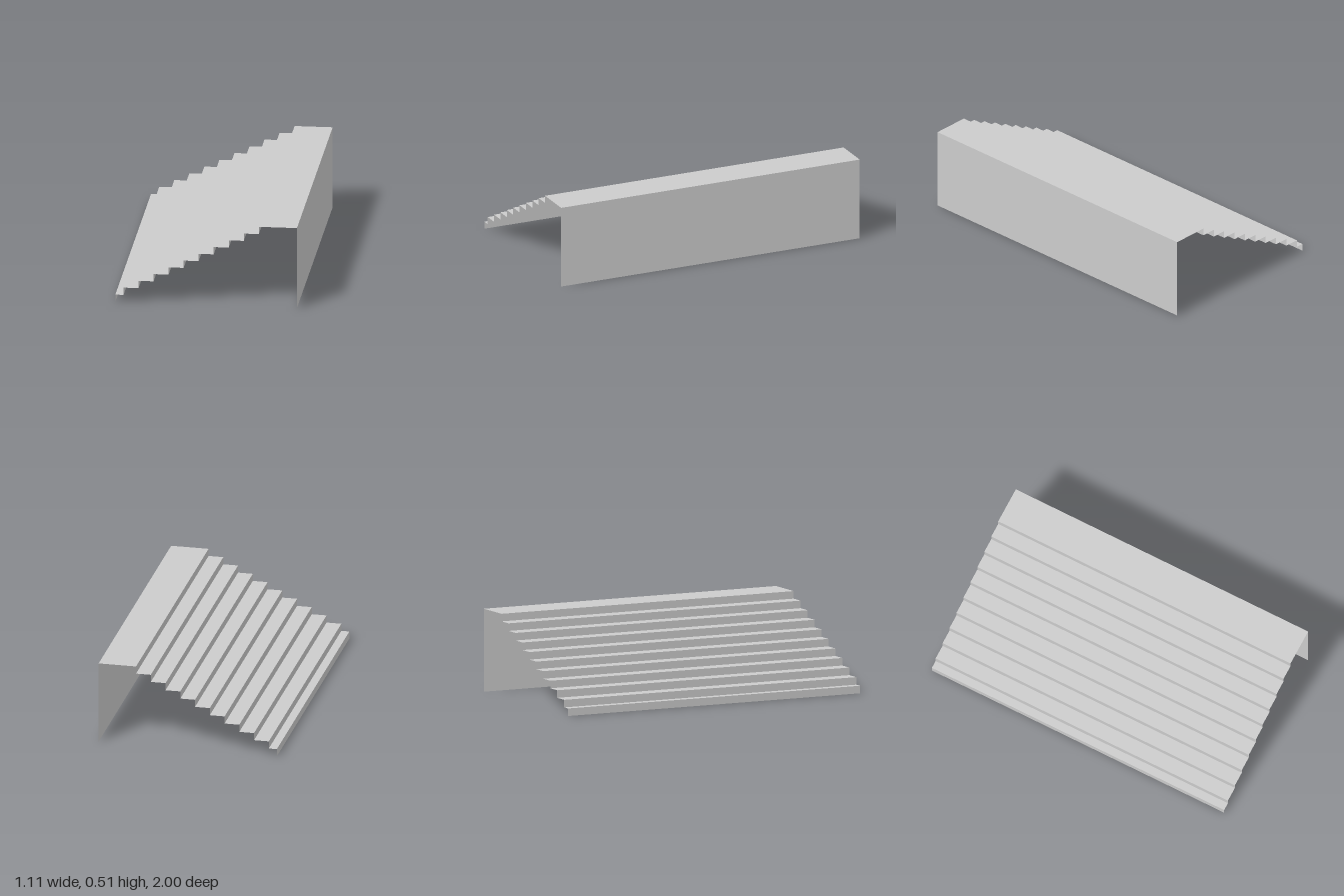
import * as THREE from 'three';

const LENGTH = 2, HEIGHT = 0.51, HALF_WIDTH = 0.555;
const STEPS = 11, RISE = HEIGHT / STEPS;
const FIRST_TREAD = 0.05, TREAD = 0.0919;

export function createModel() {
  const model = new THREE.Group();
  model.name = 'steppedStand';
  const material = new THREE.MeshStandardMaterial({ color: 0xcccccc, side: THREE.DoubleSide });

  // Thin horizontal sheet from x0 to x1, facing up
  const flat = (name, x0, x1, y) => {
    const mesh = new THREE.Mesh(new THREE.PlaneGeometry(x1 - x0, LENGTH).rotateX(-Math.PI / 2), material);
    mesh.position.set((x0 + x1) / 2, y, 0);
    mesh.name = name;
    model.add(mesh);
  };

  // Thin upright sheet from y0 to y1, facing -x or +x
  const upright = (name, x, y0, y1, facing) => {
    const mesh = new THREE.Mesh(new THREE.PlaneGeometry(LENGTH, y1 - y0).rotateY(facing * Math.PI / 2), material);
    mesh.position.set(x, (y0 + y1) / 2, 0);
    mesh.name = name;
    model.add(mesh);
  };

  // Steps climbing toward +x, ending in the wide landing
  let x = -HALF_WIDTH;
  for (let i = 0; i < STEPS; i++) {
    const top = (i + 1) * RISE;
    const last = i === STEPS - 1;
    const next = last ? HALF_WIDTH : x + (i === 0 ? FIRST_TREAD : TREAD);
    upright(`riser${i + 1}`, x, i * RISE, top, -1);
    flat(last ? 'landing' : `tread${i + 1}`, x, next, top);
    x = next;
  }

  // Full-height wall under the landing's outer edge
  upright('tallWall', HALF_WIDTH, 0, HEIGHT, 1);
  return model;
}
